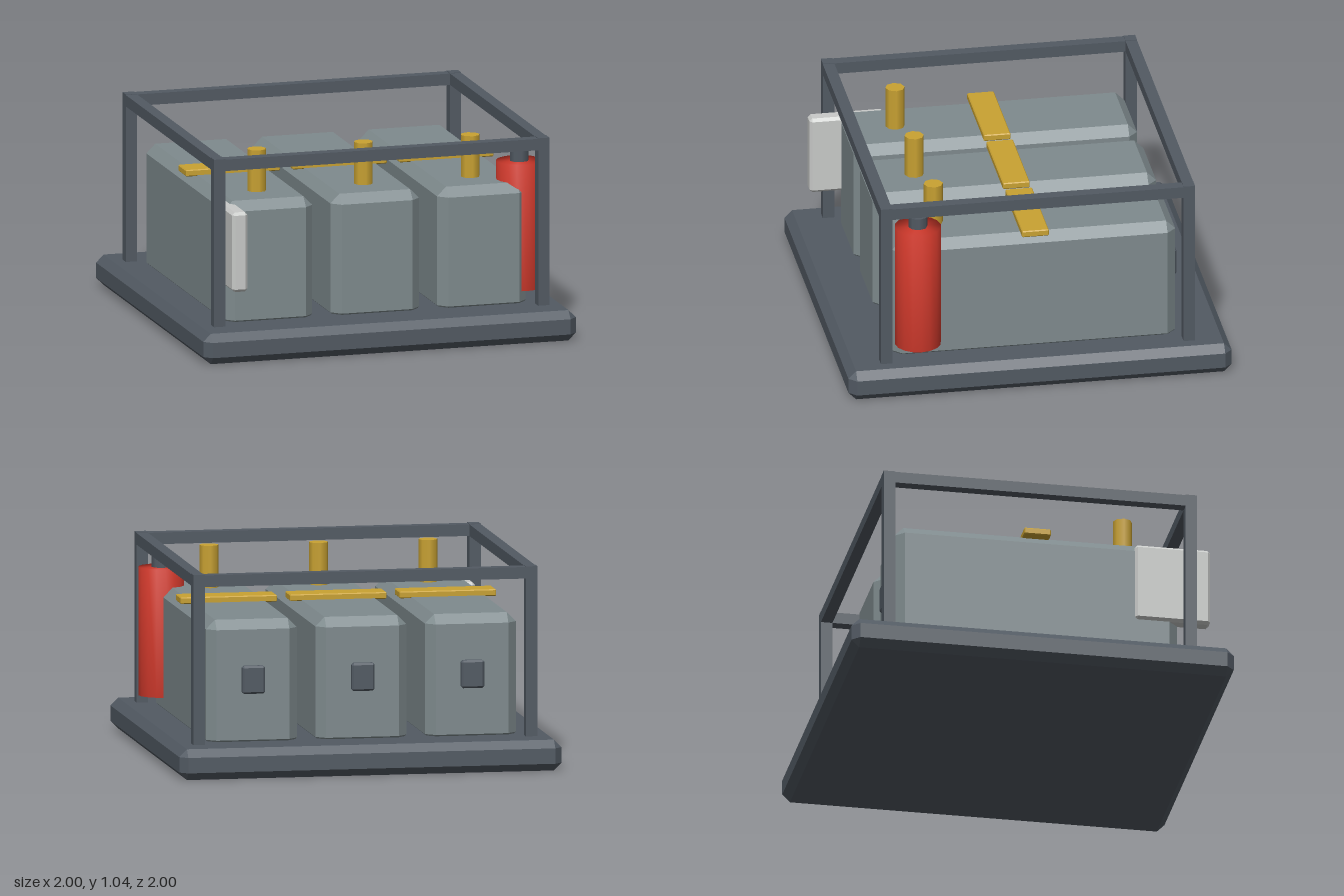
import * as THREE from 'three';
import { ConvexGeometry } from 'three/addons/geometries/ConvexGeometry.js';

const mat = (name, color) => {
  const m = new THREE.MeshStandardMaterial({ color });
  m.name = name;
  return m;
};

// Box with every edge chamfered by c, given its min and max corners
function chamferBox(min, max, c) {
  const h = min.map((v, i) => (max[i] - v) / 2);
  const pts = [];
  for (const sx of [-1, 1]) for (const sy of [-1, 1]) for (const sz of [-1, 1])
    for (let axis = 0; axis < 3; axis++) {
      const p = h.map((v, i) => (i === axis ? v : v - c));
      pts.push(new THREE.Vector3(sx * p[0], sy * p[1], sz * p[2]));
    }
  const g = new ConvexGeometry(pts);
  g.translate(...min.map((v, i) => v + h[i]));
  return g;
}

export function createModel() {
  const model = new THREE.Group();
  model.name = 'tankSkid';
  const steel = mat('dark steel', 0x525a63);
  const tankGrey = mat('tank grey', 0x7f8b8e);
  const brass = mat('brass', 0xc9a232);
  const red = mat('red', 0xd63b2d);
  const panelGrey = mat('light grey', 0xc9cbc9);

  const add = (name, geometry, material, parent = model) => {
    const mesh = new THREE.Mesh(geometry, material);
    mesh.name = name;
    parent.add(mesh);
    return mesh;
  };

  add('base', chamferBox([-1, 0, -1], [1, 0.16, 1], 0.04), steel);

  // Three tanks, each with strap, valve and rear fitting
  for (const x of [-0.573, 0, 0.573]) {
    const unit = new THREE.Group();
    unit.name = 'tankUnit';
    unit.position.x = x;
    model.add(unit);
    add('tank', chamferBox([-0.238, 0.12, -0.74], [0.238, 0.79, 0.74], 0.048), tankGrey, unit);
    add('strap', chamferBox([-0.253, 0.785, -0.07], [0.253, 0.82, 0.07], 0.005), brass, unit);
    add('valve', new THREE.CylinderGeometry(0.05, 0.05, 0.23, 8), brass, unit).position.set(0, 0.895, 0.49);
    add('rearFitting', chamferBox([-0.06, 0.41, -0.77], [0.06, 0.555, -0.73], 0.01), steel, unit);
  }

  // Open frame: four posts and a top rail on each side
  const t = 0.06, px = 0.87, pz = 0.79;
  for (const s of [-1, 1]) {
    for (const k of [-1, 1])
      add('framePost', new THREE.BoxGeometry(t, 0.9, t), steel).position.set(s * px, 0.593, k * pz);
    add('sideRail', new THREE.BoxGeometry(t, t, 2 * pz - t), steel).position.set(s * px, 1.01, 0);
    add('crossRail', new THREE.BoxGeometry(2 * px - t, t, t), steel).position.set(0, 1.01, s * pz);
  }

  // Fire extinguisher with cap
  const profile = [[0, 0], [0.12, 0], [0.12, 0.665], [0, 0.665]].map(p => new THREE.Vector2(...p));
  add('extinguisher', new THREE.LatheGeometry(profile, 16), red).position.set(0.8, 0.22, 0.61);
  add('extinguisherCap', new THREE.CylinderGeometry(0.05, 0.05, 0.08, 8), steel).position.set(0.8, 0.905, 0.61);

  // Control panel beside the front corner post
  add('controlPanel', chamferBox([-0.825, 0.355, 0.51], [-0.742, 0.775, 0.905], 0.015), panelGrey);

  return model;
}
